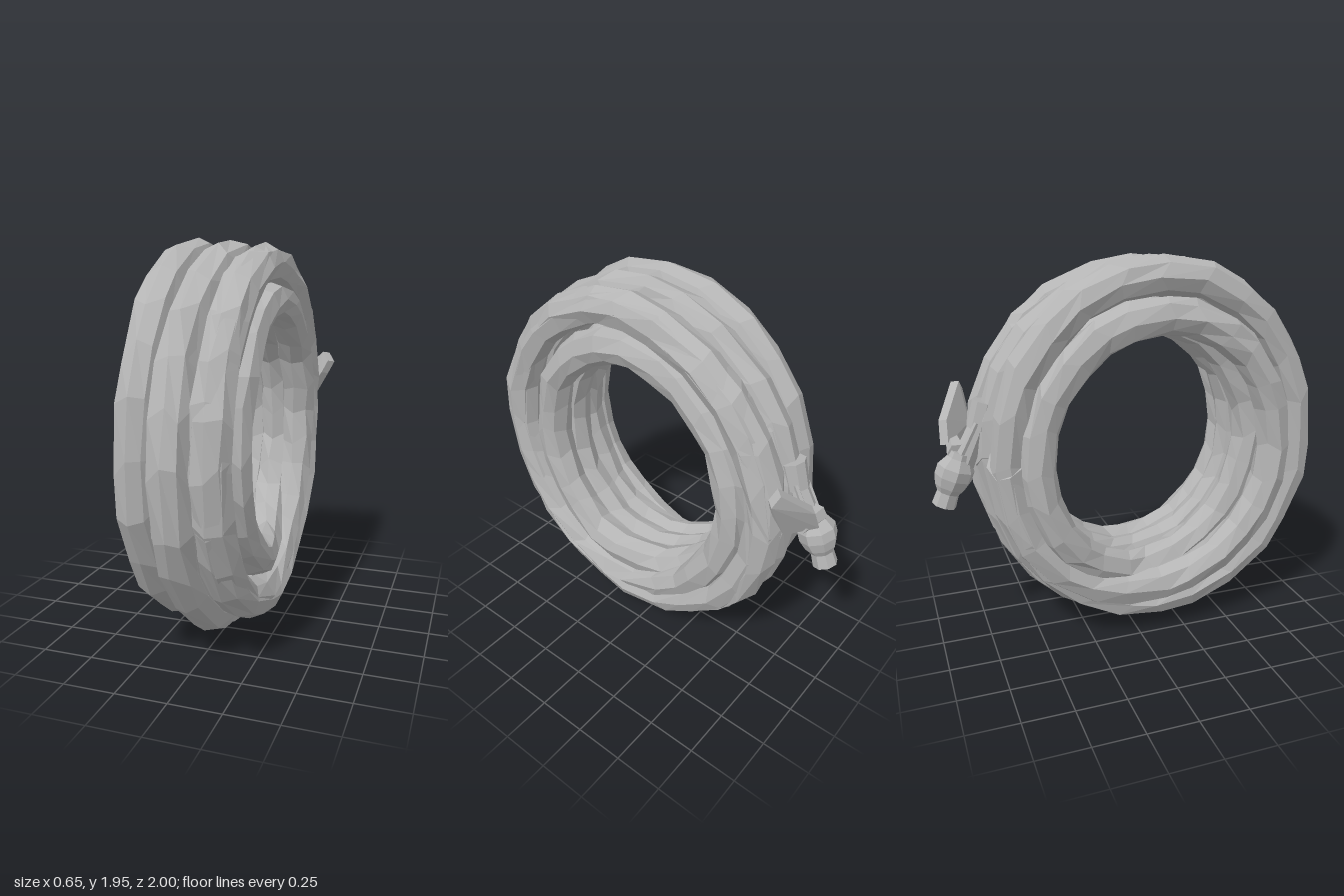
import * as THREE from 'three';
import { ConvexGeometry } from 'three/addons/geometries/ConvexGeometry.js';

const V = (x, y, z) => new THREE.Vector3(x, y, z);
const TAU = Math.PI * 2;

function seeded(seed) {
  let s = seed;
  return () => (s = (s * 16807) % 2147483647) / 2147483647;
}

// Each turn of the coil: x, centre y, centre z, radius in y, radius in z
const TURNS = [
  [-0.18, 1.01, 0.115, 0.85, 0.77],
  [-0.23, 0.99, 0.11, 0.685, 0.625],
  [-0.09, 1.01, 0.06, 0.645, 0.595],
  [0.04, 1.01, 0.05, 0.645, 0.59],
  [0.172, 1.01, 0.055, 0.645, 0.59],
  [0.16, 1.005, 0.092, 0.825, 0.785],
  [0.16, 1.005, 0.092, 0.835, 0.79],
  [-0.012, 0.97, 0.11, 0.86, 0.79],
  [-0.012, 0.97, 0.112, 0.885, 0.805],
];

// Faceted hose winding through all turns, shifting to the next one along the bottom
function hoseGeometry() {
  const rand = seeded(71), segs = 24, sides = 8;
  const total = TURNS.length * segs;
  const pos = [], index = [];
  const jitter = (k) => (rand() - 0.5) * k;
  for (let i = -1; i <= total + 1; i++) {
    const step = Math.min(Math.max(i, 0), total);
    const k = Math.min(Math.floor(step / segs), TURNS.length - 1);
    const t = step / segs - k;
    const blend = THREE.MathUtils.smoothstep(t, 0.06, 0.34);
    const prev = TURNS[Math.max(k - 1, 0)];
    const [x, cy, cz, ry, rz] = TURNS[k].map((v, n) => THREE.MathUtils.lerp(prev[n], v, blend));
    const size = i < 0 || i > total ? 0.001 : 1;
    const dx = jitter(0.01), dr = jitter(0.012);
    for (let j = 0; j < sides; j++) {
      const phi = Math.PI + t * TAU + jitter(0.12) * size;
      const s = Math.sin(phi), c = Math.cos(phi);
      const a = (j / sides) * TAU;
      const out = Math.cos(a) * 0.09 * size + dr + jitter(0.014) * size;
      const side = Math.sin(a) * 0.092 * size + dx + jitter(0.014) * size;
      pos.push(x + side, cy + s * (ry + out), cz + c * (rz + out));
      if (i <= total) {
        const p = (i + 1) * sides + j, q = (i + 1) * sides + ((j + 1) % sides);
        index.push(p, q, p + sides, q, q + sides, p + sides);
      }
    }
  }
  const g = new THREE.BufferGeometry();
  g.setAttribute('position', new THREE.Float32BufferAttribute(pos, 3));
  g.setIndex(index);
  const flat = g.toNonIndexed();
  flat.computeVertexNormals();
  return flat;
}

export function createModel() {
  const group = new THREE.Group();
  const grey = new THREE.MeshStandardMaterial({ color: 0xb4b4b4, flatShading: true });
  grey.name = 'grey';

  const add = (name, geometry, parent = group) => {
    const mesh = new THREE.Mesh(geometry, grey);
    mesh.name = name;
    parent.add(mesh);
    return mesh;
  };
  // Tapered cylinder between two points
  const rod = (name, a, b, ra, rb, sides, parent) => {
    const m = add(name, new THREE.CylinderGeometry(rb, ra, a.distanceTo(b), sides), parent);
    m.position.copy(a).lerp(b, 0.5);
    m.quaternion.setFromUnitVectors(V(0, 1, 0), b.clone().sub(a).normalize());
  };

  add('coiledHose', hoseGeometry());

  // Nozzle at the loose end of the hose
  const nozzle = new THREE.Group();
  nozzle.name = 'nozzle';
  group.add(nozzle);
  rod('hoseEnd', V(-0.015, 1.28, -0.71), V(-0.015, 1.15, -0.75), 0.065, 0.06, 8, nozzle);
  for (const x of [-0.06, -0.015, 0.03]) {
    rod('couplingStrut', V(x, 1.19, -0.765), V(x, 1.03, -0.85), 0.012, 0.014, 5, nozzle);
  }
  rod('neck', V(-0.015, 1.17, -0.75), V(-0.015, 0.98, -0.84), 0.045, 0.06, 7, nozzle);

  // Spray head, turned profile pointing down and outward
  const profile = [[0, 0], [0.06, 0], [0.055, 0.07], [0.075, 0.1], [0.092, 0.15],
    [0.092, 0.2], [0.06, 0.25], [0.055, 0.28], [0, 0.28]].map(([r, y]) => new THREE.Vector2(r, y));
  const head = add('sprayHead', new THREE.LatheGeometry(profile, 8), nozzle);
  head.position.set(-0.02, 0.78, -0.942);
  head.quaternion.setFromUnitVectors(V(0, 1, 0), V(0, 0.93, 0.36).normalize());

  // Lever: a flat leaf-shaped blade, and the short arm that holds it
  const outline = [V(0.06, 1.06, -0.91), V(0.18, 1.04, -0.8), V(0.21, 1.12, -0.785), V(0.27, 1.2, -0.785),
    V(0.305, 1.27, -0.795), V(0.27, 1.32, -0.815), V(0.11, 1.17, -0.905)];
  const half = V(-0.016, 0.004, 0.018);
  add('lever', new ConvexGeometry(outline.flatMap((p) => [p.clone().add(half), p.clone().sub(half)])), nozzle);
  rod('leverArm', V(-0.03, 1.04, -0.86), V(0.13, 1.06, -0.86), 0.05, 0.035, 6, nozzle);

  return group;
}
